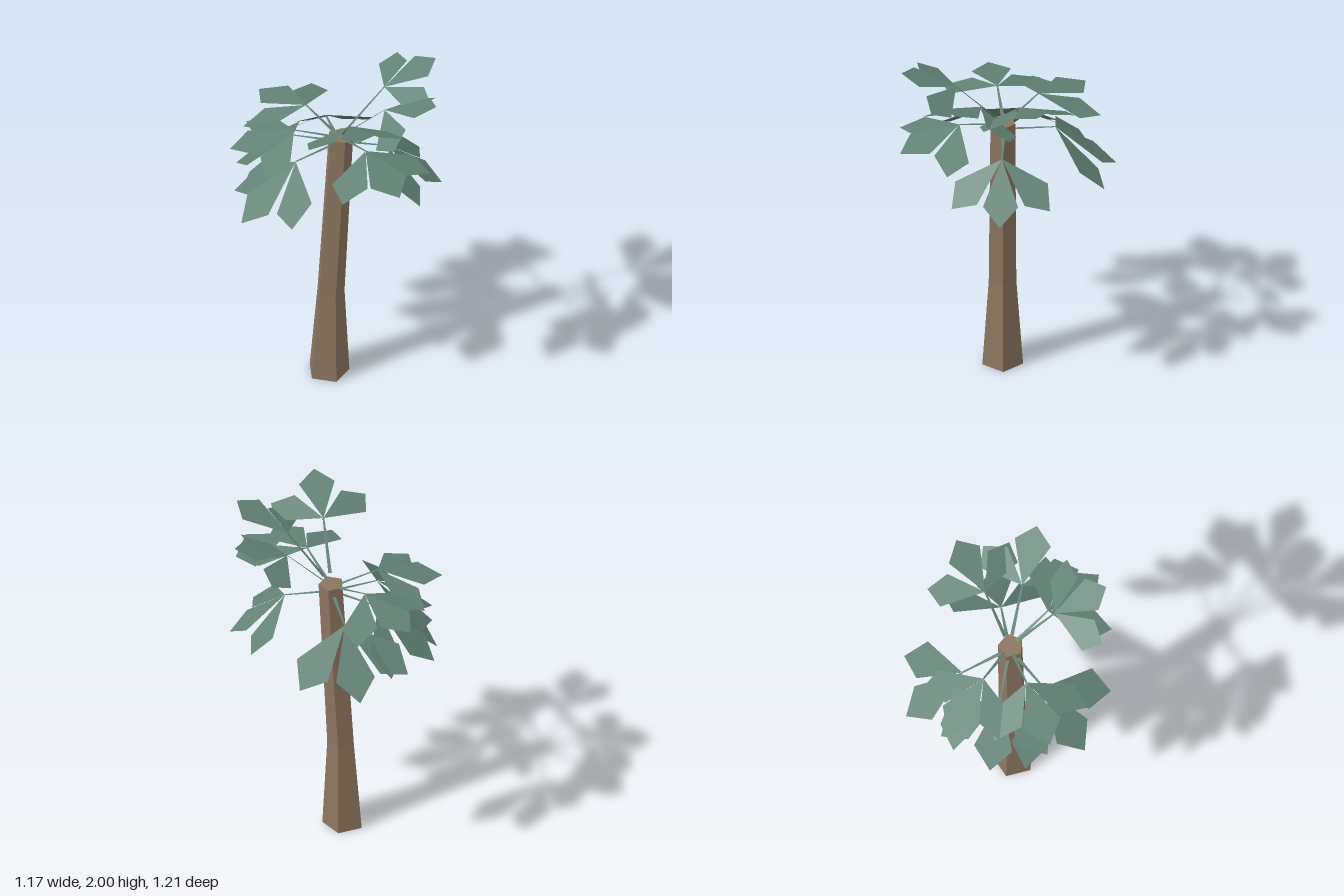
import * as THREE from 'three';

const CROWN = { x: 0.03, z: 0.015 };

// Trunk rings: height, centre x, centre z, radius
const RINGS = [
  [0, -0.037, 0.021, 0.118],
  [0.55, -0.026, 0.022, 0.08],
  [1.62, 0.03, 0.022, 0.072],
];

// Frond tiers: stem heights, slope along the frond, and [forward, side] plan outlines
const TIERS = {
  high: {
    y0: 1.66, y1: 1.88, slope: 0.385,
    centre: [[0, 0], [0.22, 0.1], [0.305, 0], [0.22, -0.1]],
    side: [[0, 0], [0.065, 0.25], [0.178, 0.264], [0.185, 0.13]],
  },
  mid: {
    y0: 1.62, y1: 1.69, slope: -0.22,
    centre: [[0, 0], [0.24, 0.11], [0.36, 0], [0.24, -0.11]],
    side: [[0, 0], [0.076, 0.253], [0.218, 0.272], [0.21, 0.11]],
  },
  low: {
    y0: 1.57, y1: 1.545, slope: -0.84,
    centre: [[0, 0], [0.24, 0.11], [0.345, 0], [0.24, -0.11]],
    side: [[0, 0], [0.07, 0.29], [0.206, 0.308], [0.208, 0.15]],
  },
};

// Each frond: tier, stem end x, stem end z, leaf scale, droop of its two side leaflets
const FRONDS = [
  ['high', 0.06, 0.28, 1, 0.24, 0.24],
  ['high', 0.265, 0.15, 1.03, 0.42, 0.42],
  ['high', 0.28, -0.058, 1, 0.24, 0.24],
  ['mid', -0.142, -0.18, 1, 0.24, 0.24],
  ['mid', -0.226, 0.042, 1, 0.24, 0.24],
  ['mid', 0.15, 0.265, 1.03, 0.24, 0.24],
  ['low', -0.026, -0.27, 1, 0.24, 0.24],
  ['low', -0.22, -0.103, 0.97, 0.24, 0.24],
  ['low', 0.287, 0.035, 0.88, 0.24, 0.24],
  ['low', -0.226, 0.139, 1.01, 0.04, 0.48],
];

// Flat four-cornered plate
function quad(points) {
  const g = new THREE.BufferGeometry();
  g.setAttribute('position', new THREE.Float32BufferAttribute(points.flat(), 3));
  g.setIndex([0, 1, 2, 0, 2, 3]);
  g.computeVertexNormals();
  return g;
}

function makeTrunk(material) {
  const g = new THREE.CylinderGeometry(1, 1, 2, 5, 2).rotateY(Math.PI / 2);
  const p = g.attributes.position;
  for (let i = 0; i < p.count; i++) {
    const [y, cx, cz, r] = RINGS[Math.round(p.getY(i)) + 1];
    p.setXYZ(i, cx + p.getX(i) * r, y, cz + p.getZ(i) * r);
  }
  const flat = g.toNonIndexed();
  flat.computeVertexNormals();
  const trunk = new THREE.Mesh(flat, material);
  trunk.name = 'trunk';
  return trunk;
}

// Stem and three leaflets; local +x points outward from the crown
function makeFrond([tierName, x, z, scale, droopA, droopB], material) {
  const tier = TIERS[tierName];
  const frond = new THREE.Group();
  frond.name = tierName + 'Frond';
  const add = (name, points) => {
    const mesh = new THREE.Mesh(quad(points), material);
    mesh.name = name;
    frond.add(mesh);
  };
  const reach = Math.hypot(x - CROWN.x, z - CROWN.z);

  // Tapered strip from crown to leaflets
  add('stem', [
    [0.05, tier.y0, 0.01], [reach, tier.y1, 0.005],
    [reach, tier.y1, -0.005], [0.05, tier.y0, -0.01],
  ]);

  const leaflet = (outline, sign, droop) => outline.map(([f, s]) => [
    reach + f * scale,
    tier.y1 + (f * tier.slope - Math.abs(s) * droop) * scale,
    s * sign * scale,
  ]);
  // Corner orders keep the upper side as the front
  add('centreLeaflet', leaflet(tier.centre, -1, 0).reverse());
  add('sideLeaflet', leaflet(tier.side, -1, droopA).reverse());
  add('sideLeaflet', leaflet(tier.side, 1, droopB));

  frond.position.set(CROWN.x, 0, CROWN.z);
  frond.rotation.y = Math.atan2(-(z - CROWN.z), x - CROWN.x);
  return frond;
}

export function createModel() {
  const bark = new THREE.MeshStandardMaterial({ color: 0x8c7660 });
  bark.name = 'bark';
  bark.flatShading = true;
  const leaf = new THREE.MeshStandardMaterial({ color: 0x638276, side: THREE.DoubleSide });
  leaf.name = 'leafGreen';
  leaf.flatShading = true;

  const tree = new THREE.Group();
  tree.name = 'palmTree';
  tree.add(makeTrunk(bark));
  for (const f of FRONDS) tree.add(makeFrond(f, leaf));
  return tree;
}
